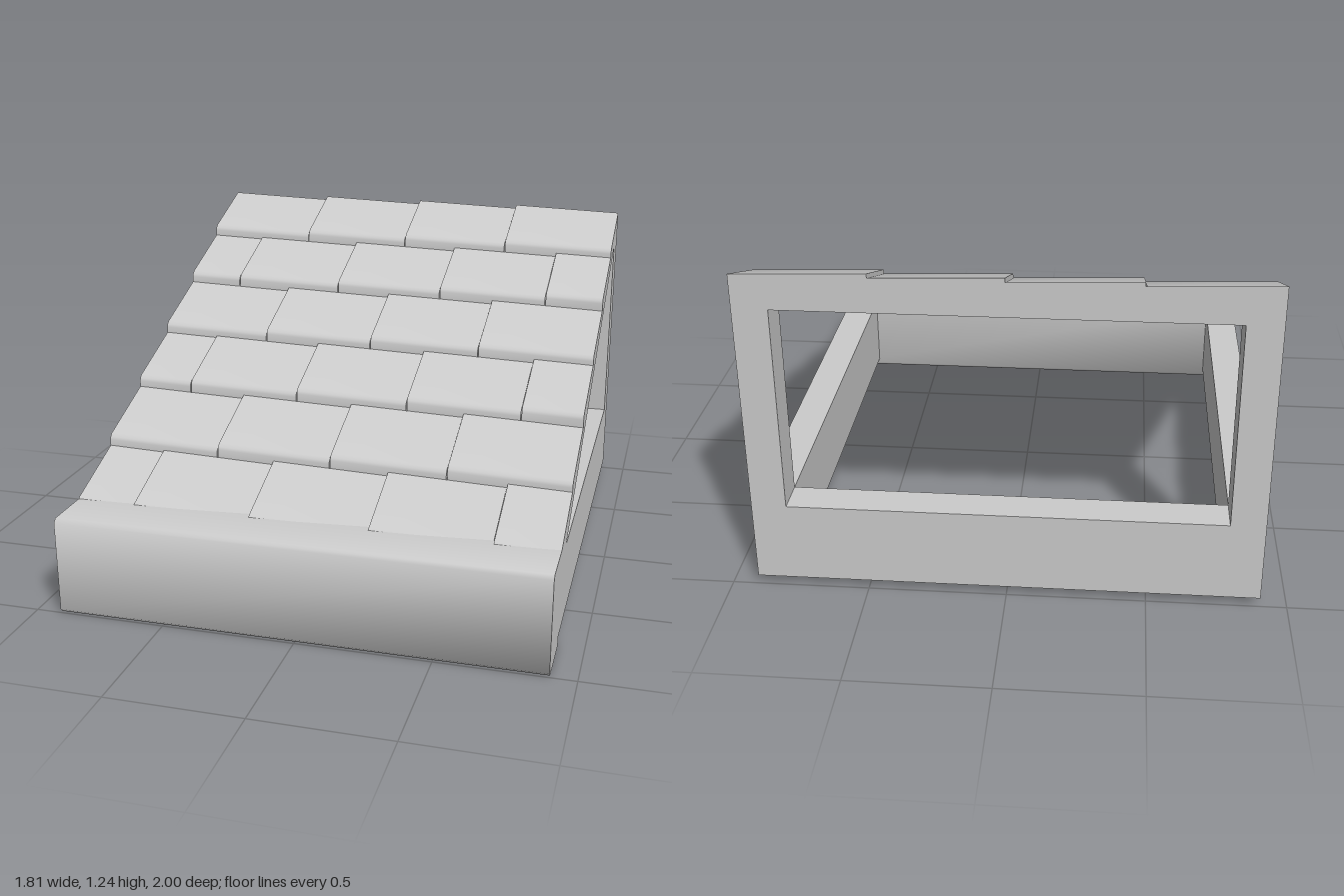
import * as THREE from 'three';
import { toCreasedNormals } from 'three/addons/utils/BufferGeometryUtils.js';

const HALF = 0.905, RAIL = 0.125;
const material = new THREE.MeshStandardMaterial({ color: 0xcccccc });

// line the tiles rest on, and the parallel underside of the roof
const bed = z => 0.485 + 0.5 * (0.51 - z);
const under = z => 0.335 + 0.503 * (0.65 - z);

// extrude a [z, y] profile from x0 to x1
function extrudeX(points, x0, x1, hole) {
  const toV = ([z, y]) => new THREE.Vector2(-z, y);
  const shape = new THREE.Shape(points.map(toV));
  if (hole) shape.holes.push(new THREE.Path(hole.map(toV)));
  const geo = new THREE.ExtrudeGeometry(shape, { depth: x1 - x0, bevelEnabled: false });
  return geo.rotateY(Math.PI / 2).translate(x0, 0, 0);
}

function add(parent, name, geo) {
  const mesh = new THREE.Mesh(geo, material);
  mesh.name = name;
  parent.add(mesh);
  return mesh;
}

// wedge tile with a rounded nose, sloping down slightly towards +x
function tileGeometry(zf, zb, x0, x1) {
  const top = z => THREE.MathUtils.mapLinear(z, zf, zb, bed(zf) + 0.04, bed(zb));
  const geo = extrudeX([
    [zf, bed(zf) - 0.02],
    [zf, top(zf) - 0.016],
    [zf - 0.004, top(zf) - 0.005],
    [zf - 0.016, top(zf - 0.016)],
    [zb, bed(zb)],
    [zb, bed(zb) - 0.02],
  ], x0, x1);
  const p = geo.attributes.position;
  for (let i = 0; i < p.count; i++) {
    p.setY(i, p.getY(i) - 0.033 * (p.getX(i) - x0));
  }
  return toCreasedNormals(geo, 0.9);
}

export function createModel() {
  const model = new THREE.Group();
  model.name = 'roofSection';

  // front fascia with softened edges
  const r = 0.014;
  const fascia = [
    [0.77, 0.375], [0.77, r], [0.77 + r, 0], [1 - r, 0],
    [1, r], [1, 0.375 - r], [1 - r, 0.375],
  ];
  add(model, 'frontFascia', toCreasedNormals(extrudeX(fascia, -HALF, HALF), 0.9));

  // side frames: rail, back post and rafter around a triangular opening
  const outline = [
    [0.78, 0.035], [0.78, bed(0.78) - 0.015], [-1, bed(-1) - 0.015], [-1, 0.035],
  ];
  const opening = [[0.65, 0.335], [-0.87, 0.335], [-0.87, under(-0.87)]];
  for (const [name, x] of [['rightSideFrame', -HALF], ['leftSideFrame', HALF - RAIL]]) {
    add(model, name, extrudeX(outline, x, x + RAIL, opening));
  }

  // roof deck between the rafters
  const inner = HALF - RAIL;
  add(model, 'roofDeck', extrudeX([
    [0.78, under(0.78)], [0.78, bed(0.78) - 0.015],
    [-1, bed(-1) - 0.015], [-1, under(-1)],
  ], -inner, inner));

  // back beams
  add(model, 'backTopBeam', extrudeX([
    [-0.87, under(-0.87)], [-0.87, bed(-0.87) - 0.015],
    [-1, bed(-1) - 0.015], [-1, under(-0.87)],
  ], -inner, inner));
  add(model, 'backRail', extrudeX([
    [-0.87, 0.035], [-0.87, 0.335], [-1, 0.335], [-1, 0.035],
  ], -inner, inner));

  // tile courses with staggered joints
  const tiles = new THREE.Group();
  tiles.name = 'roofTiles';
  model.add(tiles);
  const rows = [0.81, 0.51, 0.21, -0.09, -0.395, -0.7, -1];
  const joints = [[-0.68, -0.23, 0.22, 0.67], [-0.455, -0.005, 0.445]];
  for (let i = 0; i < 6; i++) {
    const edges = [-HALF, ...joints[i % 2], HALF];
    for (let j = 0; j < edges.length - 1; j++) {
      const gap = j < edges.length - 2 ? 0.004 : 0;
      add(tiles, 'roofTile', tileGeometry(rows[i], rows[i + 1], edges[j], edges[j + 1] - gap));
    }
  }
  return model;
}
